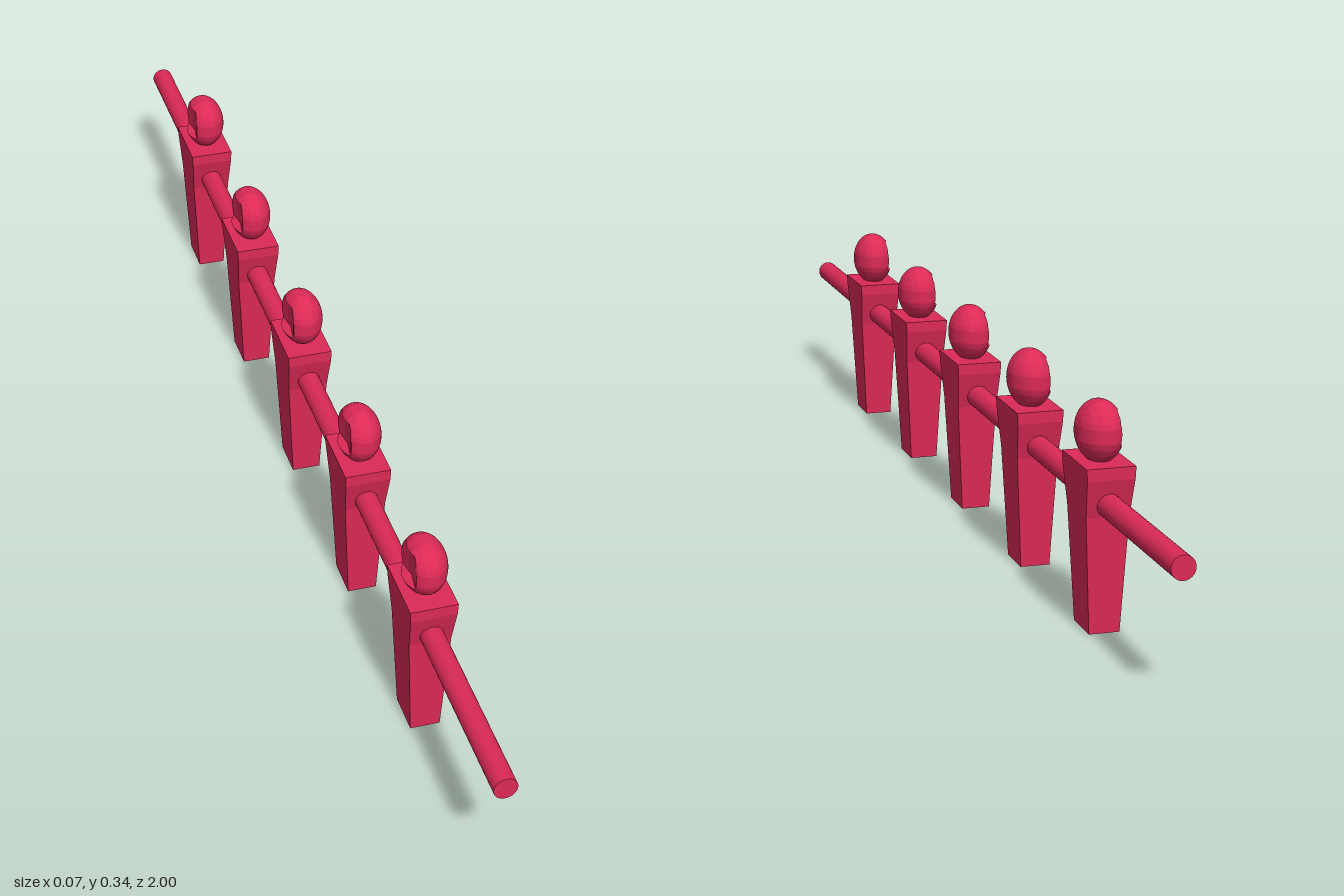
import * as THREE from 'three';
import { toCreasedNormals } from 'three/addons/utils/BufferGeometryUtils.js';

const COUNT = 5, SPACING = 0.323, FIRST_Z = 0.631, ROD_Y = 0.193;

// Tapered body: [height, half width in x, half depth in z] from foot to shoulder
const SECTIONS = [
  [0, 0.023, 0.033],
  [0.175, 0.0322, 0.042],
  [0.232, 0.0355, 0.0555],
  [0.25, 0.0365, 0.0555],
];

function bodyGeometry() {
  const geo = new THREE.BoxGeometry(2, 3, 2, 1, 3, 1);
  const p = geo.attributes.position;
  for (let i = 0; i < p.count; i++) {
    const [y, hx, hz] = SECTIONS[Math.round(p.getY(i) + 1.5)];
    p.setXYZ(i, p.getX(i) * hx, y, p.getZ(i) * hz);
  }
  return toCreasedNormals(geo, 0.05);
}

// Narrow ellipsoid with a shallow grooved face recess on the -x side
function headGeometry() {
  const geo = new THREE.SphereGeometry(1, 64, 48);
  geo.scale(0.0345, 0.046, 0.046);
  const p = geo.attributes.position;
  for (let i = 0; i < p.count; i++) {
    const y = p.getY(i), z = Math.abs(p.getZ(i));
    if (z < 0.033 && y > -0.02 && y < 0.032) {
      p.setX(i, Math.max(p.getX(i), -0.017 - 0.15 * z));
    }
  }
  return toCreasedNormals(geo, 0.5);
}

export function createModel() {
  const model = new THREE.Group();
  model.name = 'playerRod';
  const material = new THREE.MeshStandardMaterial({ color: 0xdc2a56 });

  const add = (parent, name, geometry, y) => {
    const mesh = new THREE.Mesh(geometry, material);
    mesh.name = name;
    mesh.position.y = y;
    parent.add(mesh);
    return mesh;
  };

  // Long rod through all the players
  const rod = add(model, 'rod', new THREE.CylinderGeometry(0.0178, 0.0178, 2, 32), ROD_Y);
  rod.rotation.x = Math.PI / 2;

  // Row of identical players
  const body = bodyGeometry();
  const head = headGeometry();
  for (let i = 0; i < COUNT; i++) {
    const player = new THREE.Group();
    player.name = `player${i + 1}`;
    player.position.z = FIRST_Z - i * SPACING;
    add(player, 'body', body, 0);
    add(player, 'head', head, 0.29);
    model.add(player);
  }
  return model;
}
